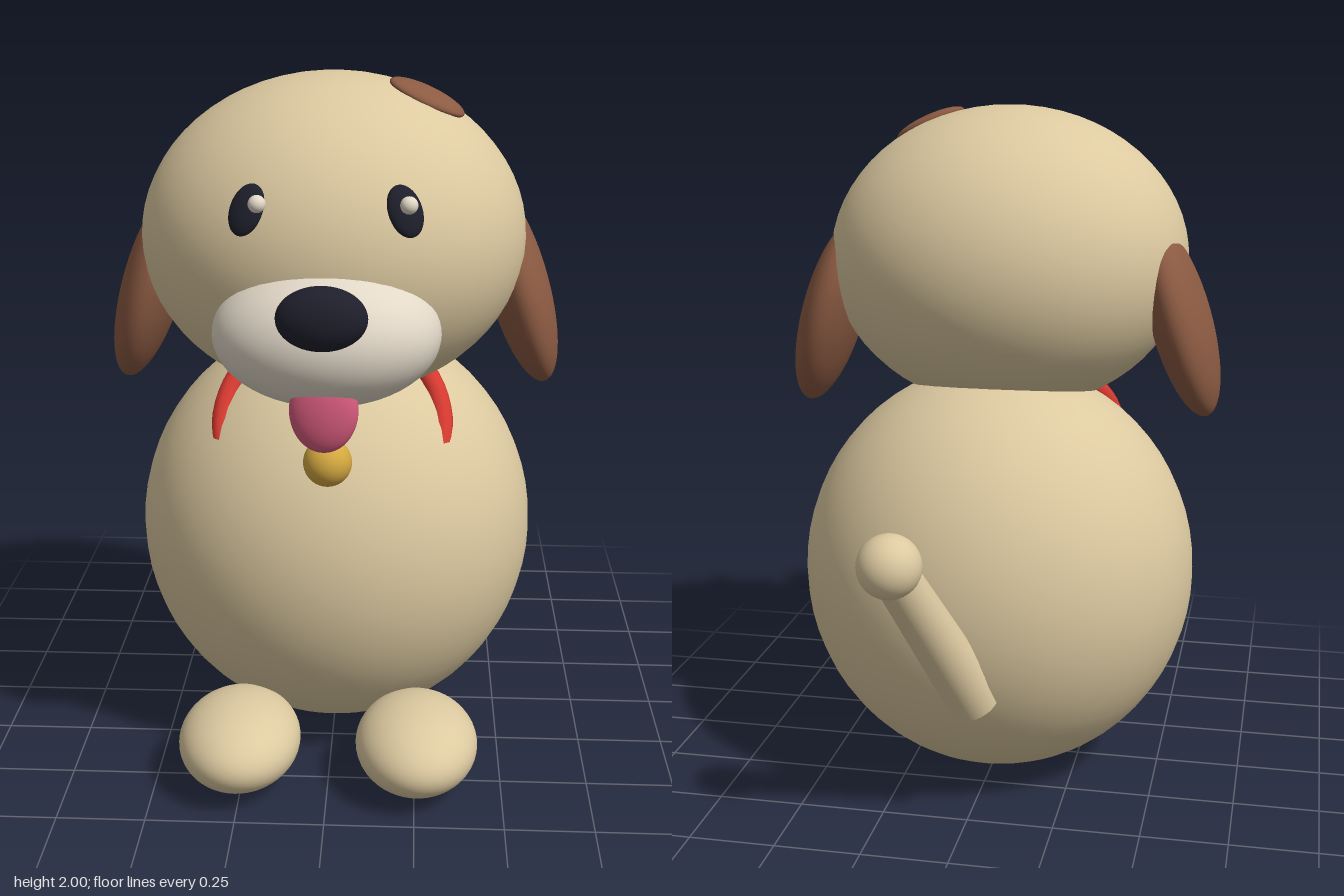
import * as THREE from 'three';

const paint = (name, color) => {
  const m = new THREE.MeshStandardMaterial({ color });
  m.name = name;
  return m;
};

export function createModel() {
  const model = new THREE.Group();
  model.name = 'sittingDog';

  const tan = paint('tanFur', 0xdcc9a0);
  const brown = paint('brownFur', 0x8b5a42);
  const cream = paint('creamFur', 0xe2d8c8);
  const dark = paint('darkNavy', 0x1f1f2c);
  const pink = paint('tonguePink', 0xd85c7e);
  const red = paint('collarRed', 0xd83a30);
  const gold = paint('bellGold', 0xd4a840);

  const ball = new THREE.SphereGeometry(1, 48, 32);

  // Ellipsoid with a centre and three radii
  function blob(name, material, centre, radii) {
    const mesh = new THREE.Mesh(ball, material);
    mesh.name = name;
    mesh.position.set(...centre);
    mesh.scale.set(...radii);
    model.add(mesh);
    return mesh;
  }

  // Body and head
  blob('body', tan, [0, 0.622, -0.01], [0.592, 0.62, 0.565]);
  const headCentre = [0, 1.545, 0.15];
  const headRadii = [0.542, 0.455, 0.5];
  blob('head', tan, headCentre, headRadii);

  // Face
  blob('muzzle', cream, [0, 1.362, 0.55], [0.303, 0.191, 0.23]);
  blob('nose', dark, [0, 1.463, 0.782], [0.116, 0.083, 0.065]);
  blob('tongue', pink, [0, 1.195, 0.692], [0.09, 0.115, 0.043]);

  // Outward direction of the head at a point
  const headNormal = (p) => new THREE.Vector3(
    ...p.map((v, i) => (v - headCentre[i]) / headRadii[i] ** 2)).normalize();

  for (const side of [-1, 1]) {
    const label = side > 0 ? 'left' : 'right';

    // Eyes lie on the head surface, tops leaning inward
    const at = [side * 0.203, 1.695, 0.58];
    const eye = blob(label + 'Eye', dark, at, [0.047, 0.07, 0.022]);
    eye.lookAt(headNormal(at).add(eye.position));
    eye.rotateZ(side * 0.2);
    blob(label + 'EyeGlint', cream, [side * 0.193 + 0.02, 1.717, 0.615], [0.023, 0.023, 0.023]);

    // Floppy ears
    const ear = blob(label + 'Ear', brown, [side * 0.532, 1.382, 0.066], [0.088, 0.295, 0.188]);
    ear.rotation.set(-0.06, 0, side * 0.29);

    // Feet
    blob(label + 'Foot', tan, [side * 0.255, 0.135, 0.515], [0.175, 0.122, 0.23]);
  }

  // Brown patch on top of the head
  const spotAt = [0.257, 1.937, 0.212];
  const spot = blob('headSpot', brown, spotAt, [0.112, 0.026, 0.078]);
  spot.quaternion.setFromUnitVectors(new THREE.Vector3(0, 1, 0), headNormal(spotAt));

  // Slanted collar, mostly sunk between head and body
  const collar = new THREE.Mesh(new THREE.TorusGeometry(0.315, 0.032, 10, 64), red);
  collar.name = 'collar';
  collar.position.set(0, 1.012, 0.272);
  collar.rotation.x = -0.64;
  model.add(collar);
  blob('bell', gold, [0, 0.987, 0.512], [0.067, 0.067, 0.067]);

  // Tapered tail with a round tip
  const root = new THREE.Vector3(-0.02, 0.38, -0.49);
  const tip = new THREE.Vector3(0.148, 0.855, -0.76);
  const along = tip.clone().sub(root);
  const tail = new THREE.Mesh(new THREE.CylinderGeometry(0.061, 0.08, along.length(), 32), tan);
  tail.name = 'tail';
  tail.position.copy(root).add(tip).multiplyScalar(0.5);
  tail.quaternion.setFromUnitVectors(new THREE.Vector3(0, 1, 0), along.normalize());
  model.add(tail);
  blob('tailTip', tan, tip.toArray(), [0.088, 0.088, 0.088]);

  return model;
}
